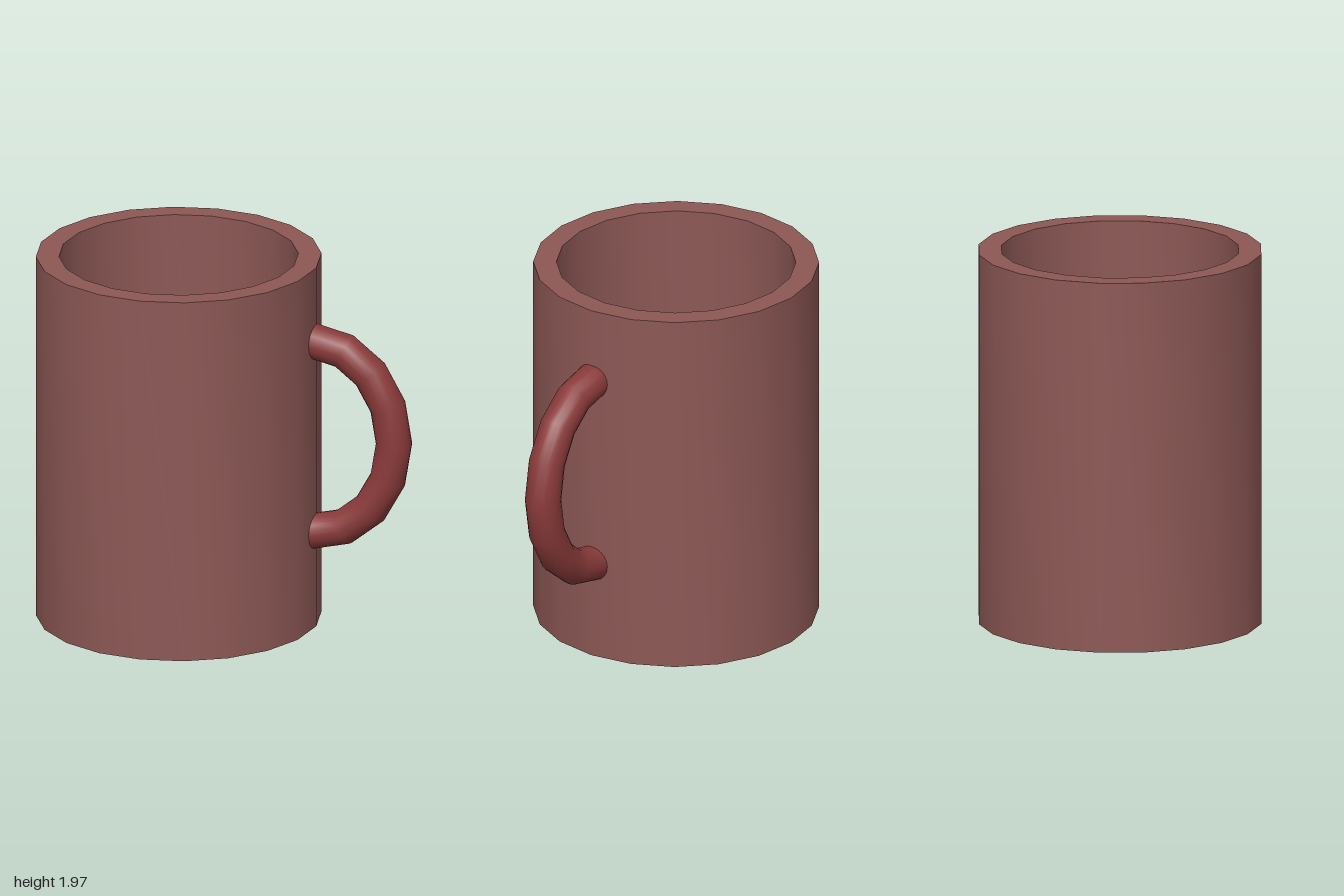
import * as THREE from 'three';
import { toCreasedNormals } from 'three/addons/utils/BufferGeometryUtils.js';

const SIDES = 20, CUP_X = -0.26;

// Half-ellipse in the xy plane, sampled at even angles
class HandleCurve extends THREE.Curve {
  getPoint(t, target = new THREE.Vector3()) {
    const a = Math.PI * (t - 0.5);
    return target.set(0.465 + 0.433 * Math.cos(a), 1.045 + 0.522 * Math.sin(a), 0);
  }
  getUtoTmapping(u) { return u; }
}

export function createModel() {
  const model = new THREE.Group();
  model.name = 'mug';

  // Cup: base, outer wall, rim, inner wall and inner floor in one profile
  const profile = [[0, 0], [0.74, 0], [0.74, 1.97], [0.62, 1.97], [0.62, 0.1], [0, 0.1]]
    .map(([r, y]) => new THREE.Vector2(r, y));
  const cup = new THREE.Mesh(
    toCreasedNormals(new THREE.LatheGeometry(profile, SIDES), Math.PI / 6),
    new THREE.MeshStandardMaterial({ color: 0x8c5855 })
  );
  cup.name = 'cup';
  cup.position.x = CUP_X;
  model.add(cup);

  // Handle: a round tube in eight straight sections, ending at the cup wall
  const handle = new THREE.Mesh(
    new THREE.TubeGeometry(new HandleCurve(), 8, 0.094, 20, false),
    new THREE.MeshStandardMaterial({ color: 0x8a3a3a, side: THREE.DoubleSide })
  );
  handle.name = 'handle';
  model.add(handle);

  return model;
}
